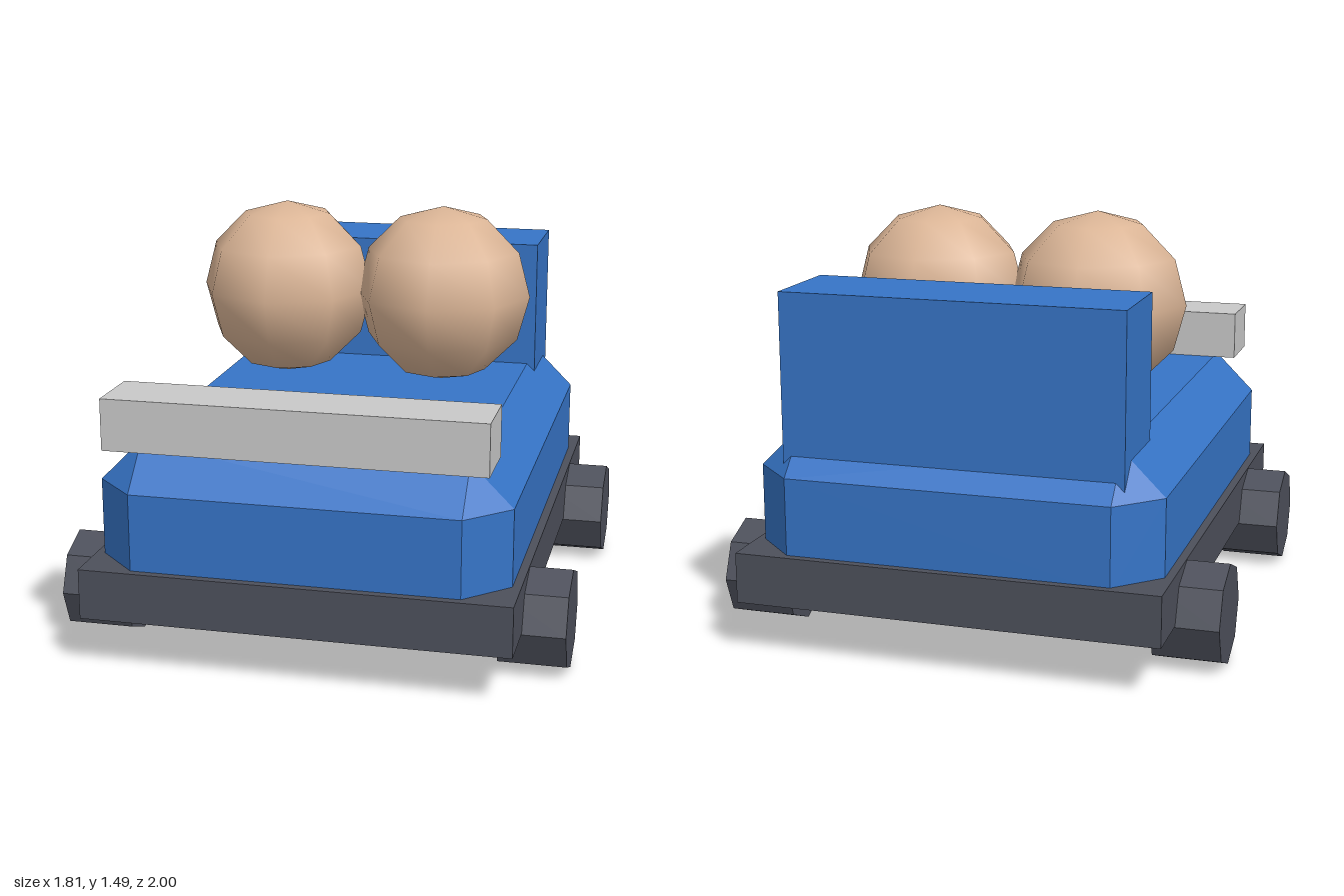
import * as THREE from 'three';
import { ConvexGeometry } from 'three/addons/geometries/ConvexGeometry.js';

const material = (name, color, flatShading = true) => {
  const m = new THREE.MeshStandardMaterial({ color, flatShading });
  m.name = name;
  return m;
};

// Box with every edge cut at 45 degrees
function chamferedBox(hx, hy, hz, c) {
  const points = [];
  for (const x of [-1, 1]) for (const y of [-1, 1]) for (const z of [-1, 1]) {
    points.push(
      new THREE.Vector3(x * hx, y * (hy - c), z * (hz - c)),
      new THREE.Vector3(x * (hx - c), y * hy, z * (hz - c)),
      new THREE.Vector3(x * (hx - c), y * (hy - c), z * hz)
    );
  }
  return new ConvexGeometry(points);
}

export function createModel() {
  const model = new THREE.Group();
  model.name = 'vehicle';
  const blue = material('blue paint', 0x3674c6);
  const dark = material('dark grey', 0x4d505b);
  const grey = material('light grey', 0xc9c9c9);
  const tan = material('tan', 0xdbb596, false);

  const add = (name, geometry, mat, x, y, z) => {
    const mesh = new THREE.Mesh(geometry, mat);
    mesh.name = name;
    mesh.position.set(x, y, z);
    model.add(mesh);
    return mesh;
  };

  // Chassis slab and chamfered body sunk into it
  add('chassis', new THREE.BoxGeometry(1.51, 0.18, 2), dark, 0, 0.275, 0);
  add('body', chamferedBox(0.725, 0.3, 0.97, 0.15), blue, 0, 0.49, 0);

  // Seat back sunk into the rear of the body, bar at the front
  add('seatBack', new THREE.BoxGeometry(1.21, 0.675, 0.36), blue, 0, 0.938, -0.727);
  add('frontBar', new THREE.BoxGeometry(1.325, 0.182, 0.24), grey, 0, 0.882, 0.85);

  const ball = new THREE.SphereGeometry(0.332, 8, 6);
  const wheel = new THREE.CylinderGeometry(0.181, 0.181, 0.24, 8).rotateZ(Math.PI / 2);
  for (const [side, s] of [['left', 1], ['right', -1]]) {
    // Balls riding side by side
    add(side + 'Ball', ball, tan, s * 0.303, 1.155, -0.122);
    // Eight-sided wheels
    add(side + 'FrontWheel', wheel, dark, s * 0.786, 0.181, 0.605);
    add(side + 'RearWheel', wheel, dark, s * 0.786, 0.181, -0.605);
  }
  return model;
}
